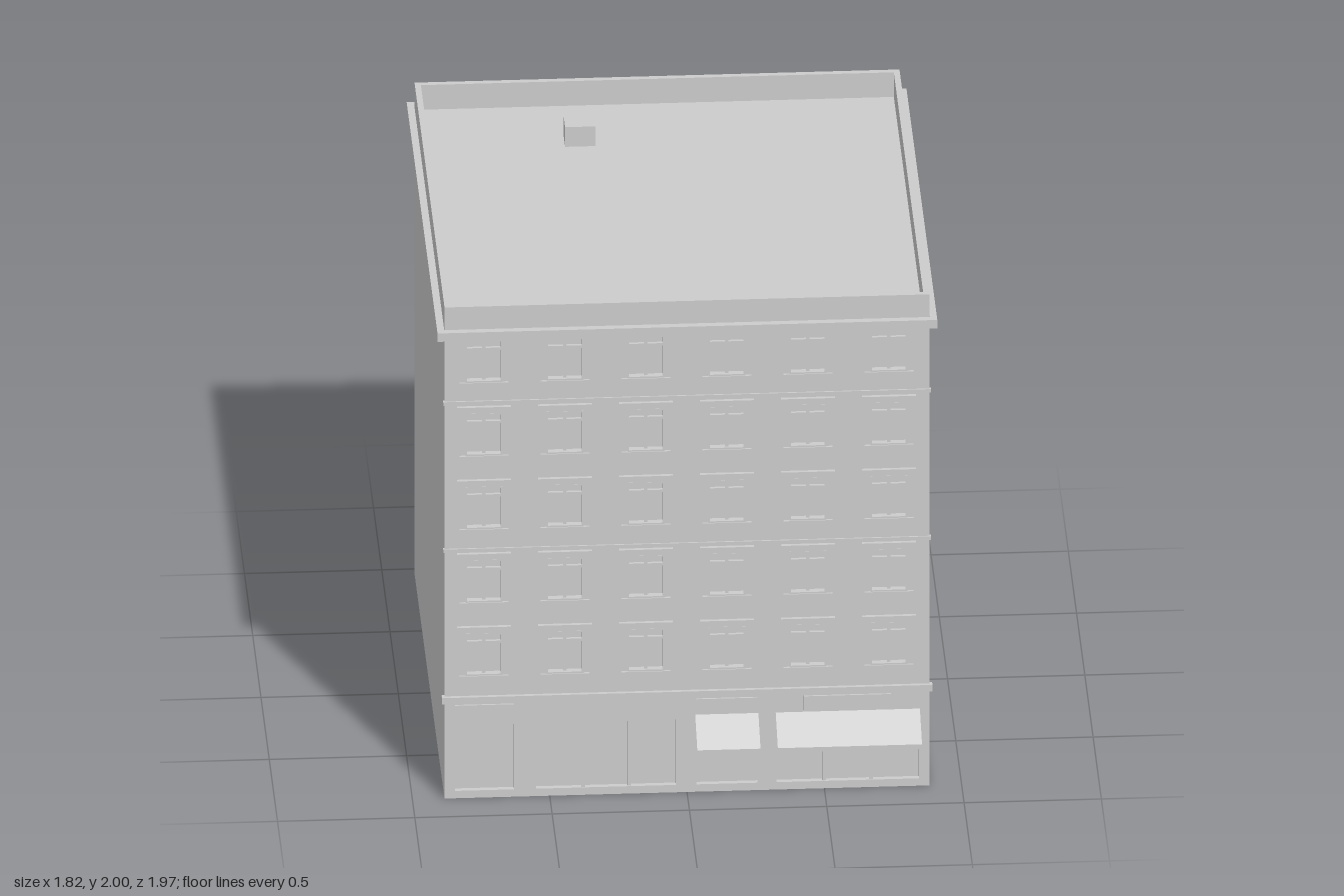
import * as THREE from 'three';

const HW = 0.883, ZF = 0.853, ZB = -0.962, ROOF = 1.9, TOP = 2;
const DEPTH = 0.02;

const stone = new THREE.MeshStandardMaterial({ color: 0xcccccc, side: THREE.DoubleSide });
stone.name = 'pale grey';

function rectPath(x0, y0, x1, y1, Type = THREE.Shape) {
  const p = new Type();
  p.moveTo(x0, y0);
  p.lineTo(x1, y0);
  p.lineTo(x1, y1);
  p.lineTo(x0, y1);
  p.closePath();
  return p;
}

// Rectangular ring in the xy plane, extruded along z
function ring(x0, y0, x1, y1, t, depth) {
  const s = rectPath(x0, y0, x1, y1);
  s.holes.push(rectPath(x0 + t, y0 + t, x1 - t, y1 - t, THREE.Path));
  return new THREE.ExtrudeGeometry(s, { depth, bevelEnabled: false });
}

// Box given by its limits; faces listed in skip (0..5 = +x -x +y -y +z -z) are left open
function box(x0, x1, y0, y1, z0, z1, skip = []) {
  const g = new THREE.BoxGeometry(x1 - x0, y1 - y0, z1 - z0);
  g.translate((x0 + x1) / 2, (y0 + y1) / 2, (z0 + z1) / 2);
  if (skip.length) {
    const idx = Array.from(g.index.array).filter((_, i) => !skip.includes(Math.floor(i / 6)));
    g.setIndex(idx);
    g.clearGroups();
  }
  return g;
}

export function createModel() {
  const model = new THREE.Group();
  model.name = 'cornerlessApartmentBlock';
  const add = (name, geometry, parent = model) => {
    const m = new THREE.Mesh(geometry, stone);
    m.name = name;
    parent.add(m);
    return m;
  };
  const group = (name) => {
    const g = new THREE.Group();
    g.name = name;
    model.add(g);
    return g;
  };

  const facade = rectPath(-HW, 0, HW, TOP);

  // Recess open to the front, with its hole in the facade
  const opening = (name, x0, x1, y0, y1, parent) => {
    facade.holes.push(rectPath(x0, y0, x1, y1, THREE.Path));
    add(name, box(x0, x1, y0, y1, ZF - DEPTH, ZF, [4]), parent);
  };

  // Upper windows: five floors of six
  for (let row = 0; row < 5; row++) {
    const y0 = 0.499 + row * 0.2985;
    const y1 = y0 + 0.172;
    for (let col = 0; col < 6; col++) {
      const x = -0.74 + col * 0.295;
      const w = group('window');
      opening('windowRecess', x - 0.067, x + 0.067, y0, y1, w);
      add('windowSurround', ring(x - 0.067, y0, x + 0.067, y1, 0.006, DEPTH + 0.005), w)
        .position.z = ZF - DEPTH;
      add('mullion', box(x - 0.006, x + 0.006, y0, y1, ZF - DEPTH, ZF - 0.006), w);
      add('transom', box(x - 0.064, x + 0.064, y1 - 0.048, y1 - 0.038, ZF - DEPTH, ZF - 0.008), w);
      add('sill', box(x - 0.089, x + 0.089, y0 - 0.008, y0, ZF, ZF + 0.009), w);
      if (row < 4) add('hood', box(x - 0.098, x + 0.098, y1 + 0.005, y1 + 0.029, ZF, ZF + 0.014), w);
    }
  }

  // Shopfronts: x limits and mullion positions
  const shops = [
    [-0.845, -0.63, []],
    [-0.55, -0.04, [-0.378, -0.21]],
    [0.034, 0.257, []],
    [0.325, 0.845, [0.5, 0.67]],
  ];
  for (const [x0, x1, bars] of shops) {
    const s = group('shopfront');
    opening('shopRecess', x0, x1, 0.03, 0.302, s);
    add('shopHead', box(x0, x1, 0.294, 0.302, ZF - DEPTH, ZF - 0.005), s);
    for (const b of bars) add('shopMullion', box(b - 0.007, b + 0.007, 0.03, 0.302, ZF - DEPTH, ZF - 0.005), s);
  }

  // Blank sign boards
  for (const [x0, x1] of [[-0.845, -0.63], [0.034, 0.257], [0.425, 0.743]]) {
    add('signBoard', box(x0, x1, 0.321, 0.38, ZF, ZF + 0.007));
  }

  // Sheet awnings: slope and hanging valance
  const slopeLength = Math.hypot(0.13, 0.08);
  for (const [x0, x1] of [[0.03, 0.26], [0.323, 0.848]]) {
    const a = group('awning');
    const slope = add('awningSlope', new THREE.PlaneGeometry(x1 - x0, slopeLength), a);
    slope.position.set((x0 + x1) / 2, 0.274, ZF + 0.065);
    slope.rotation.x = -Math.atan2(0.13, 0.08);
    const valance = add('awningValance', new THREE.PlaneGeometry(x1 - x0, 0.019), a);
    valance.position.set((x0 + x1) / 2, 0.2245, ZF + 0.13);
  }

  // Hollow shell, open underneath
  const front = add('frontWall', new THREE.ShapeGeometry(facade));
  front.position.z = ZF;
  add('sideAndBackWalls', box(-HW, HW, 0, TOP, ZB, ZF, [2, 3, 4]));
  add('roof', new THREE.PlaneGeometry(2 * HW, ZF - ZB).rotateX(-Math.PI / 2))
    .position.set(0, ROOF, (ZF + ZB) / 2);

  // Parapet coping with inner faces
  const t = 0.022;
  const coping = rectPath(-HW, -ZF, HW, -ZB);
  coping.holes.push(rectPath(-HW + t, -ZF + t, HW - t, -ZB - t, THREE.Path));
  add('parapetTop', new THREE.ShapeGeometry(coping).rotateX(-Math.PI / 2)).position.y = TOP;
  add('parapetInside', box(-HW + t, HW - t, ROOF, TOP, ZB + t, ZF - t, [2, 3]));

  // Main cornice around all four sides
  add('cornice', ring(-HW - 0.027, -ZF - 0.026, HW + 0.027, -ZB + 0.027, 0.026, 0.034)
    .rotateX(-Math.PI / 2)).position.y = 1.874;

  // Bands across the front
  add('shopBelt', box(-HW - 0.01, HW + 0.01, 0.39, 0.416, ZF - 0.01, ZF + 0.014));
  for (const y of [1.01, 1.61]) {
    add('stringCourse', box(-HW - 0.005, HW + 0.005, y - 0.007, y + 0.007, ZF - 0.008, ZF + 0.006));
  }

  // Small roof chimney
  add('chimney', box(-0.356, -0.246, ROOF, 1.98, -0.69, -0.61, [3]));

  return model;
}
